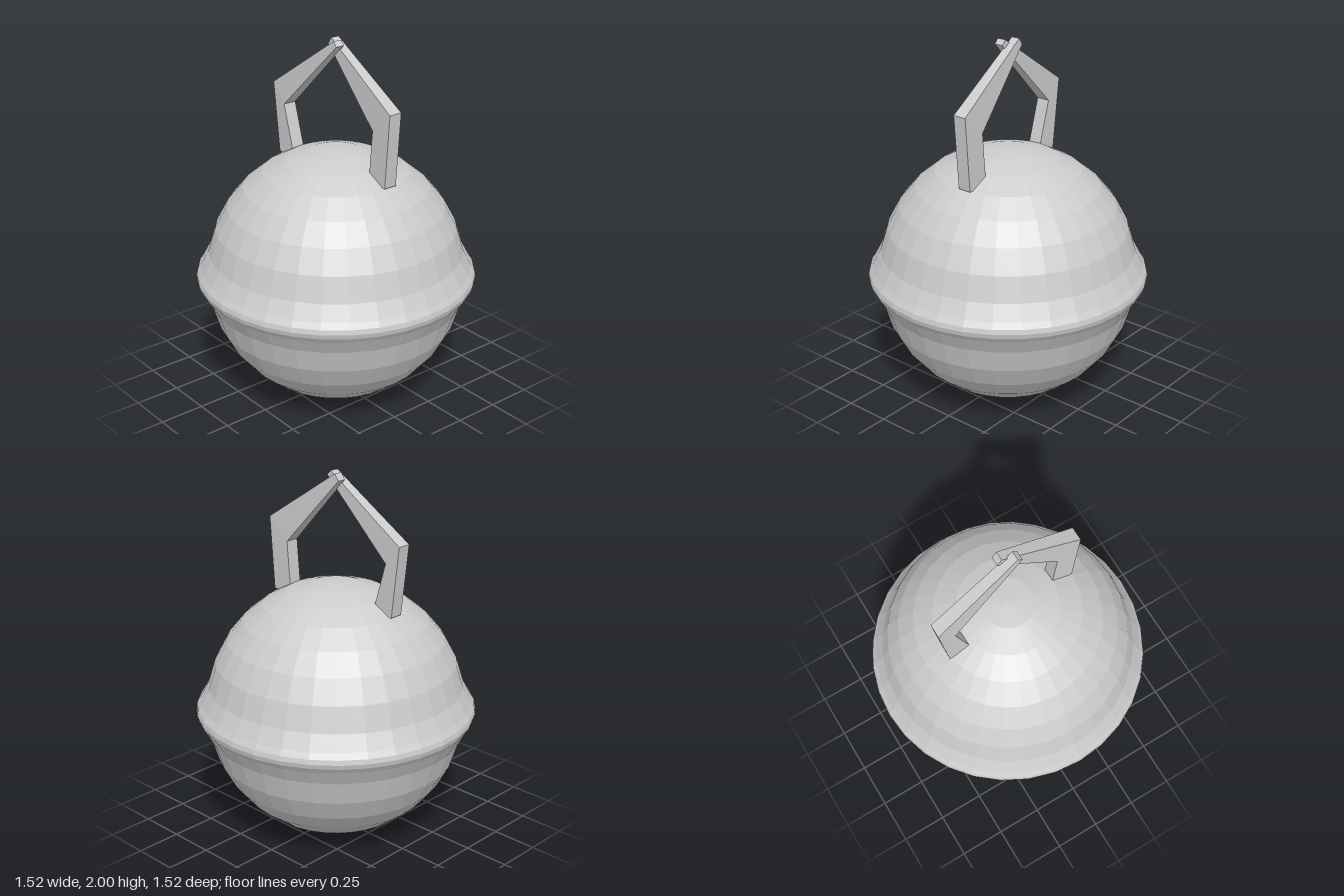
import * as THREE from 'three';

const grey = new THREE.MeshStandardMaterial({ color: 0xcccccc, flatShading: true, side: THREE.DoubleSide });

function flatMesh(geometry, name) {
  const flat = geometry.index ? geometry.toNonIndexed() : geometry;
  flat.computeVertexNormals();
  const mesh = new THREE.Mesh(flat, grey);
  mesh.name = name;
  return mesh;
}

// Round body with a raised band at the equator and a groove under it.
function createBody() {
  const R = 0.703, centre = 0.707, sides = 32, rows = 16;
  const points = [];
  for (let k = 0; k <= rows; k++) {
    const a = (k * Math.PI) / rows;
    if (k === rows / 2) {
      for (const [r, dy] of [[0.733, -0.055], [0.753, -0.025], [0.759, 0], [0.753, 0.025], [0.733, 0.055]])
        points.push(new THREE.Vector2(r, centre + dy));
    } else {
      points.push(new THREE.Vector2(k % rows ? R * Math.sin(a) : 0, centre - R * Math.cos(a)));
    }
  }
  const geometry = new THREE.LatheGeometry(points, sides);
  const pos = geometry.attributes.position;

  // Groove: push the lowest vertices lying on the x axis into the body.
  const depths = [0, 0.03, 0.05, 0.053];
  for (const column of [sides / 4, (3 * sides) / 4]) {
    depths.forEach((depth, row) => {
      const i = column * points.length + row;
      const scale = 1 - depth / R;
      pos.setXYZ(i, pos.getX(i) * scale, centre + (pos.getY(i) - centre) * scale, pos.getZ(i) * scale);
    });
  }
  return flatMesh(geometry, 'body');
}

// Bent bar; each section is [outer z, outer y, inner z, inner y, x start, x end].
function createArm(sections, name) {
  const rings = sections.map(([zo, yo, zi, yi, x0, x1]) =>
    [[x0, yo, zo], [x1, yo, zo], [x1, yi, zi], [x0, yi, zi]]);
  const v = [];
  const quad = (a, b, c, d) => v.push(...a, ...b, ...c, ...a, ...c, ...d);
  for (let s = 0; s < rings.length - 1; s++) {
    for (let k = 0; k < 4; k++) {
      const n = (k + 1) % 4;
      quad(rings[s][k], rings[s][n], rings[s + 1][n], rings[s + 1][k]);
    }
  }
  const [p, q, r, t] = rings[0];
  quad(t, r, q, p);
  quad(...rings[rings.length - 1]);
  const geometry = new THREE.BufferGeometry();
  geometry.setAttribute('position', new THREE.Float32BufferAttribute(v, 3));
  return flatMesh(geometry, name);
}

export function createModel() {
  const model = new THREE.Group();
  model.name = 'ornament';
  model.add(createBody());

  // Two bent arms that cross at the top to form the hanging loop
  model.add(createArm([
    [0.39, 1.3, 0.265, 1.3, 0, 0.075],
    [0.42, 1.7, 0.29, 1.585, 0, 0.075],
    [-0.035, 2.0, -0.06, 1.965, -0.003, 0.045],
  ], 'frontArm'));
  model.add(createArm([
    [-0.39, 1.3, -0.262, 1.3, -0.002, -0.077],
    [-0.435, 1.685, -0.345, 1.58, -0.002, -0.077],
    [0.03, 2.0, 0.055, 1.975, 0.008, -0.042],
  ], 'backArm'));
  return model;
}
